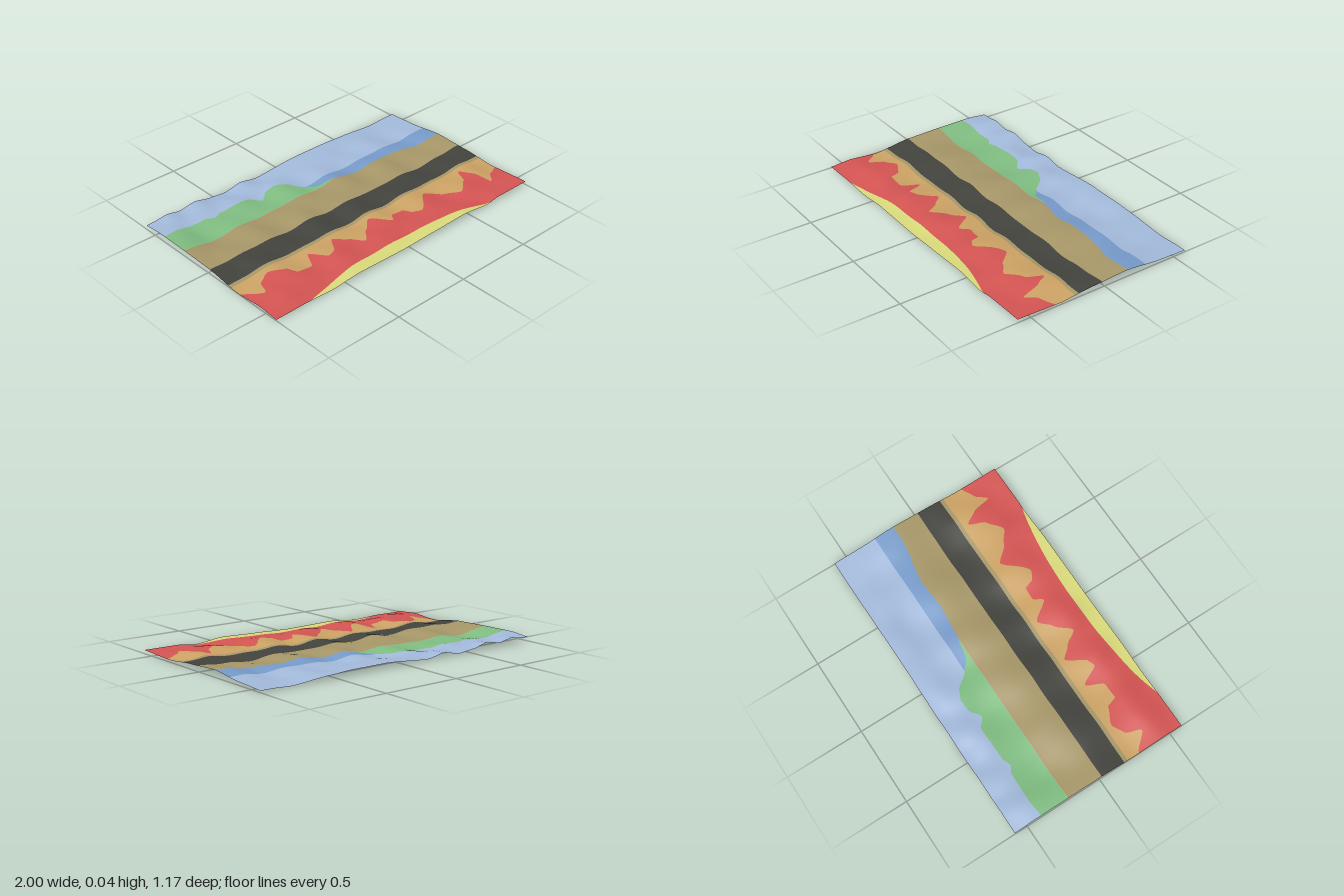
import * as THREE from 'three';

const HALF_DEPTH = 0.585;
const { lerp, smoothstep } = THREE.MathUtils;

// One flat colour per printed area
const paint = (name, color) => {
  const m = new THREE.MeshStandardMaterial({ color, side: THREE.DoubleSide });
  m.name = name;
  return m;
};

// Softly rounded interpolation through [position, value] points
const line = (points) => (x) => {
  let i = 1;
  while (i < points.length - 1 && x > points[i][0]) i++;
  const [x0, v0] = points[i - 1], [x1, v1] = points[i];
  const t = THREE.MathUtils.clamp((x - x0) / (x1 - x0), 0, 1);
  return lerp(v0, v1, lerp(t, t * t * (3 - 2 * t), 0.6));
};

// Heights along the four hems of the cloth
const backHem = line([
  [-1, 0.03], [-0.87, 0.046], [-0.76, 0.026], [-0.65, 0.042], [-0.53, 0.018], [-0.42, 0.008],
  [-0.3, 0.03], [-0.18, 0.01], [0.14, 0.034], [0.4, 0.033], [0.54, 0.026], [0.8, 0.008], [1, 0.015],
]);
const frontHem = line([
  [-1, 0.01], [-0.8, 0.012], [-0.6, 0.004], [-0.4, 0.02], [-0.05, 0.014], [0.2, 0.022],
  [0.45, 0.03], [0.65, 0.01], [0.75, 0.024], [1, 0.025],
]);
const rightHem = line([
  [-0.585, 0.03], [-0.445, 0.042], [-0.23, 0.04], [0.01, 0.034], [0.26, 0.004], [0.45, 0.02], [0.585, 0.01],
]);
const leftHem = line([
  [-0.585, 0.015], [-0.4, 0.022], [-0.155, 0.046], [0.09, 0.034], [0.3, 0.016], [0.585, 0.025],
]);

// Height of the rippled cloth: waves inside, blending into the hems
function ripple(x, z) {
  let y = 0.026
    + 0.008 * Math.cos(12.5 * (z - 0.02) + 1.5 * x + 1.5)
    + 0.006 * Math.sin(15 * x + 5 * z + 1.4 * Math.sin(3 * x))
    + 0.004 * Math.sin(24 * x - 9 * z + 2);
  const near = (distance) => 1 - smoothstep(distance, 0, 0.2);
  y = lerp(y, backHem(x), near(z + HALF_DEPTH));
  y = lerp(y, frontHem(x), near(HALF_DEPTH - z));
  y = lerp(y, rightHem(z), near(x + 1));
  return lerp(y, leftHem(z), near(1 - x));
}

// Strip of cloth between two edges, each a function of x
function strip(name, material, back, front, x0 = -1, x1 = 1) {
  const cols = Math.ceil((x1 - x0) / 0.01);
  let depth = 0;
  for (let i = 0; i <= cols; i++) {
    const x = x0 + (x1 - x0) * i / cols;
    depth = Math.max(depth, front(x) - back(x));
  }
  const rows = Math.max(1, Math.ceil(depth / 0.03));
  const pos = [], nor = [], index = [], e = 0.03;
  const n = new THREE.Vector3();
  for (let j = 0; j <= rows; j++) {
    for (let i = 0; i <= cols; i++) {
      const x = x0 + (x1 - x0) * i / cols;
      const z = lerp(back(x), front(x), j / rows);
      pos.push(x, ripple(x, z), z);
      n.set(ripple(x - e, z) - ripple(x + e, z), 2 * e, ripple(x, z - e) - ripple(x, z + e)).normalize();
      nor.push(n.x, n.y, n.z);
      if (i < cols && j < rows) {
        const a = j * (cols + 1) + i, b = a + cols + 1;
        index.push(a, b, a + 1, b, b + 1, a + 1);
      }
    }
  }
  const g = new THREE.BufferGeometry();
  g.setAttribute('position', new THREE.Float32BufferAttribute(pos, 3));
  g.setAttribute('normal', new THREE.Float32BufferAttribute(nor, 3));
  g.setIndex(index);
  const mesh = new THREE.Mesh(g, material);
  mesh.name = name;
  return mesh;
}

export function createModel() {
  const sky = paint('pale blue', 0xa2b9da);
  const sea = paint('blue', 0x769ac9);
  const green = paint('green', 0x7fbc81);
  const rust = paint('rust', 0xb48c64);
  const khaki = paint('khaki', 0xa69668);
  const black = paint('charcoal', 0x42433d);
  const tan = paint('tan', 0xcca264);
  const red = paint('red', 0xd35452);
  const yellow = paint('yellow', 0xd8d87a);

  // Outline of the hill on the left and the shore on the right
  const horizon = line([
    [-1, -0.405], [-0.9, -0.415], [-0.7, -0.41], [-0.65, -0.385], [-0.6, -0.405],
    [-0.38, -0.41], [-0.31, -0.36], [-0.24, -0.41], [-0.17, -0.415], [-0.11, -0.39],
    [-0.02, -0.295], [0.04, -0.245], [0.1, -0.233], [0.2, -0.213], [0.38, -0.197],
    [0.6, -0.207], [0.7, -0.192], [0.8, -0.17], [0.9, -0.16], [1, -0.165],
  ]);
  // Jagged top of the red area
  const peaks = line([
    [-1, 0.28], [-0.895, 0.375], [-0.855, 0.28], [-0.775, 0.24], [-0.665, 0.29],
    [-0.655, 0.355], [-0.545, 0.355], [-0.485, 0.25], [-0.42, 0.365], [-0.375, 0.35],
    [-0.29, 0.24], [-0.225, 0.305], [-0.165, 0.39], [-0.08, 0.305], [0, 0.235],
    [0.095, 0.35], [0.135, 0.295], [0.225, 0.3], [0.235, 0.36], [0.295, 0.39],
    [0.44, 0.26], [0.535, 0.35], [0.62, 0.405], [0.715, 0.335], [0.765, 0.235],
    [0.82, 0.32], [0.85, 0.44], [0.91, 0.375], [1, 0.335],
  ]);
  // Low yellow arc on the front edge
  const arc = (x) => Math.min(HALF_DEPTH, 0.5 + 0.085 * Math.abs((x + 0.035) / 0.725) ** 2.5);
  const at = (z) => () => z;
  const skyline = (x) => Math.min(horizon(x), -0.295);
  const ground = (x) => Math.max(horizon(x), -0.217);
  const groundLine = (x) => Math.max(horizon(x), -0.207);

  const cloth = new THREE.Group();
  cloth.name = 'rippledCloth';
  cloth.add(
    strip('sky', sky, at(-HALF_DEPTH), skyline),
    strip('sea', sea, skyline, horizon, -0.02, 1),
    strip('hill', green, horizon, ground, -1, 0.18),
    strip('hillFoot', rust, ground, groundLine, -1, 0.25),
    strip('field', khaki, (x) => (x < 0.25 ? groundLine(x) : horizon(x)), at(0.015)),
    strip('road', black, at(0.015), at(0.177)),
    strip('verge', khaki, at(0.177), at(0.202)),
    strip('sand', tan, at(0.202), peaks),
    strip('redPeaks', red, peaks, arc),
    strip('yellowArc', yellow, arc, at(HALF_DEPTH), -0.76, 0.69),
  );
  return cloth;
}
